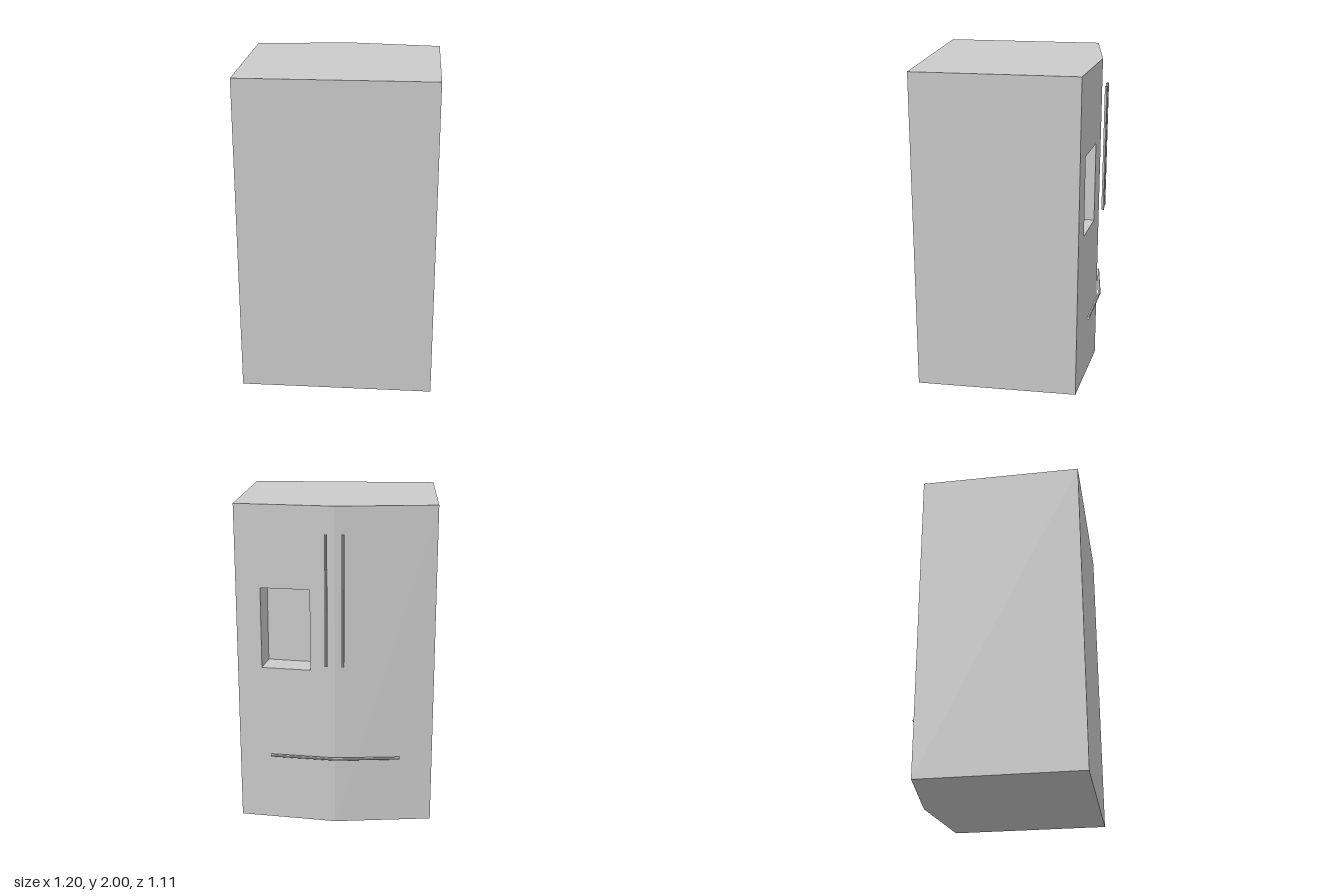
import * as THREE from 'three';
import { mergeGeometries } from 'three/addons/utils/BufferGeometryUtils.js';

const V = (x, z) => new THREE.Vector2(x, z); // plan point: x, z

// Upright rectangle from plan point a to b, facing the right of a->b seen from outside; optional hole
function wall(a, b, y0, y1, hole) {
  const len = a.distanceTo(b);
  const rect = (S, u0, u1, v0, v1) =>
    new S([V(u0, v0), V(u1, v0), V(u1, v1), V(u0, v1)]);
  const shape = rect(THREE.Shape, 0, len, y0, y1);
  if (hole) shape.holes.push(rect(THREE.Path, hole.t0 * len, hole.t1 * len, hole.y0, hole.y1));
  const dx = (b.x - a.x) / len, dz = (b.y - a.y) / len;
  const m = new THREE.Matrix4().makeBasis(
    new THREE.Vector3(dx, 0, dz), new THREE.Vector3(0, 1, 0), new THREE.Vector3(-dz, 0, dx));
  m.setPosition(a.x, 0, a.y);
  return new THREE.ShapeGeometry(shape).applyMatrix4(m);
}

// Level polygon at height y, facing up (1) or down (-1)
function cap(points, y, up) {
  const shape = new THREE.Shape(points.map(p => V(p.x, -up * p.y)));
  return new THREE.ShapeGeometry(shape).rotateX(-up * Math.PI / 2).translate(0, y, 0);
}

export function createModel() {
  const group = new THREE.Group();
  const material = new THREE.MeshStandardMaterial({ color: 0xcccccc, flatShading: true });
  const add = (name, geometry) => {
    const mesh = new THREE.Mesh(geometry, material);
    mesh.name = name;
    group.add(mesh);
    return mesh;
  };

  // Cabinet: a box whose door side (-z) comes to a shallow ridge
  const plan = [V(-0.6, 0.555), V(0.6, 0.555), V(0.6, -0.447), V(0, -0.52), V(-0.6, -0.447)];
  const hole = { t0: 0.25, t1: 0.75, y0: 1, y1: 1.5 };
  const walls = plan.map((p, i) =>
    wall(p, plan[(i + 1) % plan.length], 0, 2, i === 2 ? hole : null));
  add('cabinet', mergeGeometries([...walls, cap(plan, 2, 1), cap(plan, 0, -1)]));

  // Dispenser recess: sunk square to the slanted door
  const a = plan[2].clone().lerp(plan[3], hole.t0);
  const b = plan[2].clone().lerp(plan[3], hole.t1);
  const dir = b.clone().sub(a).normalize();
  const inward = V(dir.y, -dir.x).multiplyScalar(0.17);
  const a2 = a.clone().add(inward), b2 = b.clone().add(inward);
  const ring = [a, a2, b2, b];
  add('dispenserRecess', mergeGeometries([
    wall(a, a2, hole.y0, hole.y1),
    wall(a2, b2, hole.y0, hole.y1),
    wall(b2, b, hole.y0, hole.y1),
    cap(ring, hole.y0, 1),
    cap(ring, hole.y1, -1),
  ]));

  // Pair of upright door handles
  for (const [name, x] of [['leftDoorHandle', 0.05], ['rightDoorHandle', -0.05]]) {
    add(name, new THREE.CylinderGeometry(0.009, 0.009, 0.8, 10)).position.set(x, 1.44, -0.549);
  }

  // Drawer handle: a level rod bent back along the ridge of the doors
  const rod = new THREE.CylinderGeometry(0.009, 0.009, 0.8, 10, 2).rotateZ(Math.PI / 2);
  const pos = rod.attributes.position;
  for (let i = 0; i < pos.count; i++) {
    pos.setZ(i, pos.getZ(i) + 0.1 * Math.abs(pos.getX(i)));
  }
  rod.computeVertexNormals();
  add('drawerHandle', rod).position.set(0, 0.435, -0.539);

  return group;
}
